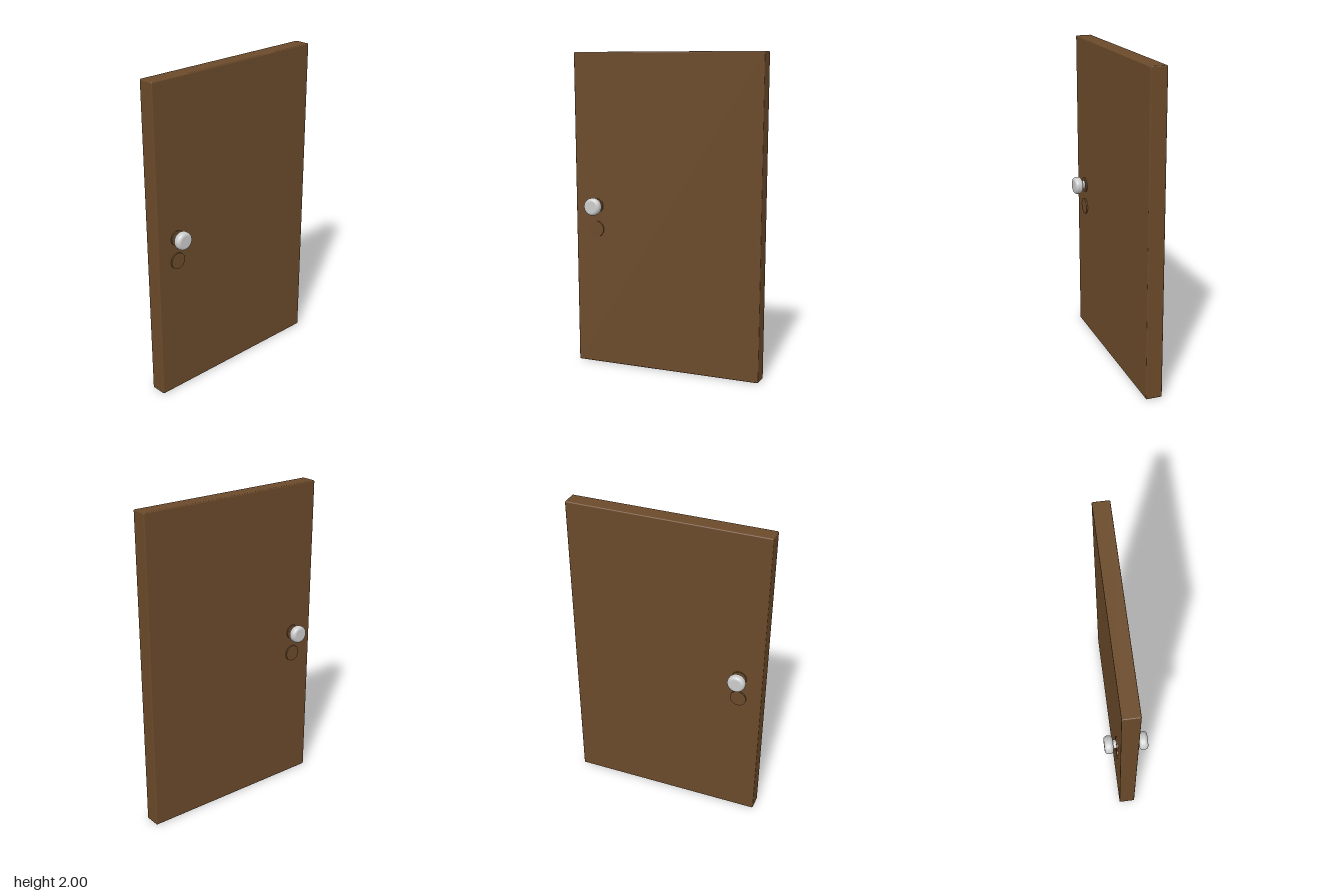
import * as THREE from 'three';
import { RoundedBoxGeometry } from 'three/addons/geometries/RoundedBoxGeometry.js';

const wood = new THREE.MeshStandardMaterial({ color: 0x6b4a2a });
const metal = new THREE.MeshStandardMaterial({ color: 0xcccccc });
const CENTER_X = -0.002, HALF = 0.0515, LOCK_Z = 0.477;

function add(parent, name, geometry, material) {
  const mesh = new THREE.Mesh(geometry, material);
  mesh.name = name;
  parent.add(mesh);
  return mesh;
}

// Disc whose axis runs along x, spanning x0 to x1
function disc(radius, x0, x1, y) {
  return new THREE.CylinderGeometry(radius, radius, x1 - x0, 32)
    .rotateZ(-Math.PI / 2).translate((x0 + x1) / 2, y, 0);
}

// Turned knob: flat faces joined by a full rounded rim
function knobGeometry() {
  const x0 = 0.078, x1 = 0.132, r = 0.056, rim = 0.021;
  const profile = new THREE.Path();
  profile.moveTo(0, x0);
  profile.lineTo(r - rim, x0);
  profile.absarc(r - rim, x0 + rim, rim, -Math.PI / 2, 0, false);
  profile.absarc(r - rim, x1 - rim, rim, 0, Math.PI / 2, false);
  profile.lineTo(0, x1);
  return new THREE.LatheGeometry(profile.getPoints(8), 32).rotateZ(-Math.PI / 2);
}

export function createModel() {
  const model = new THREE.Group();
  model.name = 'door';

  // Panel, very slightly narrower toward the bottom
  const panel = new RoundedBoxGeometry(HALF * 2, 2, 1.256, 3, 0.007).translate(CENTER_X, 1, 0);
  const p = panel.attributes.position;
  for (let i = 0; i < p.count; i++) p.setZ(i, p.getZ(i) * (0.982 + 0.009 * p.getY(i)));
  add(model, 'doorPanel', panel, wood);

  // Matching knob and lock plate on both faces
  for (const [side, turn] of [['left', 0], ['right', Math.PI]]) {
    const set = new THREE.Group();
    set.name = side + 'HandleSet';
    set.position.set(CENTER_X, 0, LOCK_Z);
    set.rotation.y = turn;
    add(set, side + 'Rosette', disc(0.047, 0.04, 0.06, 1.032), wood);
    add(set, side + 'LockPlate', disc(0.051, 0.04, 0.06, 0.883), wood);
    add(set, side + 'KnobStem', disc(0.028, 0.05, 0.09, 1.032), metal);
    add(set, side + 'Knob', knobGeometry(), metal).position.y = 1.032;
    model.add(set);
  }
  return model;
}
